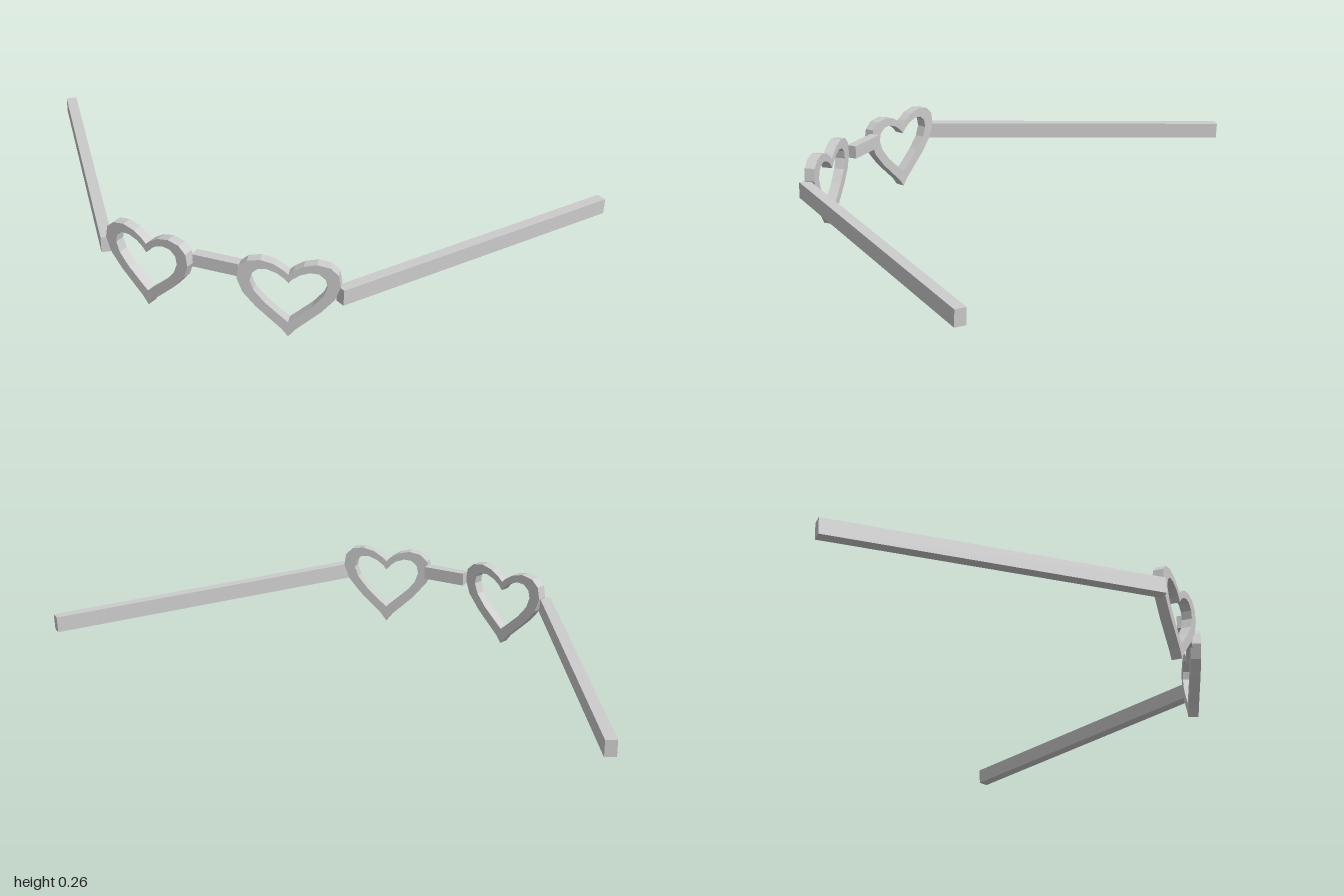
import * as THREE from 'three';

const material = new THREE.MeshStandardMaterial({ color: 0xcccccc, flatShading: true });
const DEPTH = 0.034;

// Right half of each heart outline, from bottom tip up to the cleft
const OUTER = [[0, 0], [0.02, 0.026], [0.055, 0.058], [0.1, 0.1], [0.14, 0.148], [0.157, 0.195],
  [0.15, 0.235], [0.125, 0.258], [0.085, 0.265], [0.045, 0.255], [0.015, 0.236], [0, 0.222]];
const INNER = [[0, 0.052], [0.03, 0.078], [0.072, 0.116], [0.105, 0.156], [0.117, 0.19],
  [0.112, 0.216], [0.092, 0.233], [0.065, 0.235], [0.035, 0.224], [0.012, 0.207], [0, 0.192]];

function mirrored(half) {
  const other = half.slice(1, -1).reverse().map(([x, y]) => [-x, y]);
  return [...half, ...other].map(([x, y]) => new THREE.Vector2(x, y));
}

function heartGeometry() {
  const shape = new THREE.Shape(mirrored(OUTER));
  shape.holes.push(new THREE.Path(mirrored(INNER)));
  const geometry = new THREE.ExtrudeGeometry(shape, { depth: DEPTH, bevelEnabled: false });
  return geometry.translate(0, 0, -DEPTH / 2);
}

function addMesh(group, name, geometry) {
  const mesh = new THREE.Mesh(geometry, material);
  mesh.name = name;
  group.add(mesh);
  return mesh;
}

export function createModel() {
  const model = new THREE.Group();
  model.name = 'heartGlasses';

  // Bridge between the rims
  addMesh(model, 'bridge', new THREE.BoxGeometry(0.15, 0.043, DEPTH)).position.set(0, 0.203, 0.434);

  const heart = heartGeometry();
  for (const side of [1, -1]) {
    const label = side > 0 ? 'left' : 'right';

    // Heart rim, swept back toward the temple
    const rim = addMesh(model, label + 'Rim', heart);
    rim.position.set(side * 0.23, 0, 0.429);
    rim.rotation.y = side * 0.21;

    // Straight temple, splayed outward and dropping slightly to the rear
    const front = new THREE.Vector3(side * 0.386, 0.167, 0.414);
    const back = new THREE.Vector3(side * 0.984, 0.131, -0.469);
    const temple = addMesh(model, label + 'Temple',
      new THREE.BoxGeometry(0.036, 0.052, front.distanceTo(back)));
    temple.position.copy(front).add(back).multiplyScalar(0.5);
    temple.lookAt(front);
  }
  return model;
}
